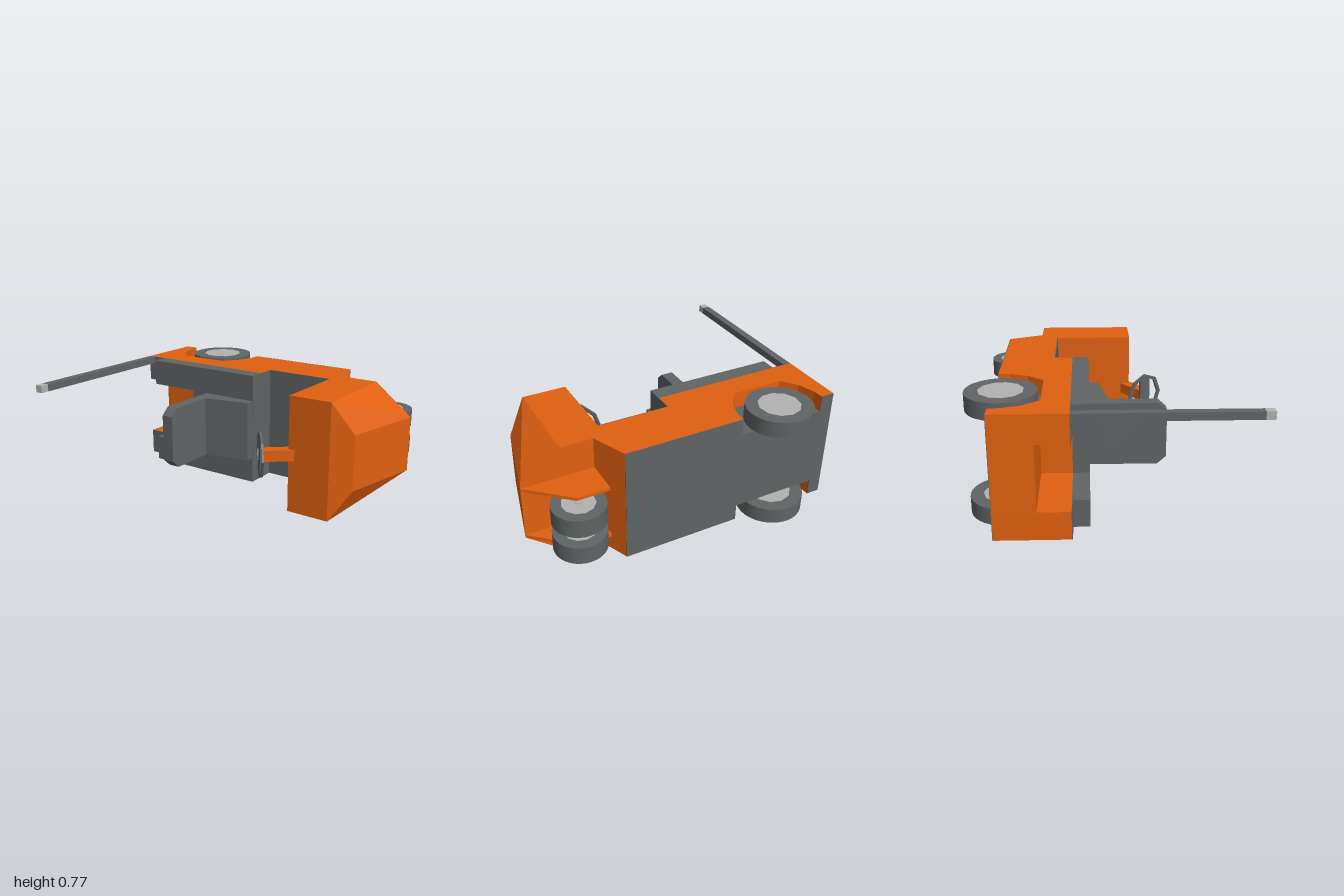
import * as THREE from 'three';
import { ConvexGeometry } from 'three/addons/geometries/ConvexGeometry.js';

const mat = (color, flatShading = true) => new THREE.MeshStandardMaterial({ color, flatShading });
const ORANGE = mat(0xe0600f), GREY = mat(0x606464), LIGHT = mat(0xb2b2b2), TYRE = mat(0x606464, false);
const HALF = 0.381; // half width of the vehicle

export function createModel() {
  const model = new THREE.Group();
  model.name = 'utilityVehicle';
  // Built upright (x forward, y up, z across), then laid on its side.
  const v = new THREE.Group();
  v.name = 'vehicle';
  v.rotation.x = Math.PI / 2;
  v.position.y = HALF;
  model.add(v);

  const add = (name, geo, material) => {
    const m = new THREE.Mesh(geo, material);
    m.name = name;
    v.add(m);
    return m;
  };
  const box = (name, x0, x1, y0, y1, z0, z1, material) =>
    add(name, new THREE.BoxGeometry(x1 - x0, y1 - y0, z1 - z0), material)
      .position.set((x0 + x1) / 2, (y0 + y1) / 2, (z0 + z1) / 2);
  const shape = (pts) => new THREE.Shape(pts.map(([x, y]) => new THREE.Vector2(x, y)));
  // Side profile extruded across the width from z0 to z1
  const prism = (name, pts, z0, z1, material) => {
    const g = new THREE.ExtrudeGeometry(shape(pts), { depth: z1 - z0, bevelEnabled: false });
    return add(name, g.translate(0, 0, z0), material);
  };
  const cylinder = (name, r, x, y, z0, z1, sides, material) => {
    const g = new THREE.CylinderGeometry(r, r, z1 - z0, sides).rotateX(Math.PI / 2);
    return add(name, g.translate(x, y, (z0 + z1) / 2), material);
  };

  // Body in strips: notched centre, plain inner sides, outer sides with wheel arches
  const front = [[0.45, -0.69], [0.545, -0.47], [0.75, -0.47], [0.75, 0.15], [0.465, 0.15],
    [0.465, -0.36], [0, -0.36], [0, -0.245]];
  const arch = [[-0.91, -0.69], [-0.905, -0.62], [-0.87, -0.51], [-0.79, -0.41],
    [-0.45, -0.41], [-0.37, -0.51], [-0.33, -0.62], [-0.33, -0.69]];
  const notchHalf = 0.205, inner = 0.27;
  prism('bodyCentre', [[-1, -0.69], ...front, [-0.51, -0.245], [-0.51, -0.44], [-1, -0.44]],
    -notchHalf, notchHalf, ORANGE);
  for (const s of [-1, 1]) {
    const span = (a, b) => (s > 0 ? [a, b] : [-b, -a]);
    prism('bodyInnerSide', [[-1, -0.69], ...front, [-1, -0.245]], ...span(notchHalf, inner), ORANGE);
    prism('bodyOuterSide', [[-1, -0.69], ...arch, ...front, [-1, -0.245]], ...span(inner, HALF), ORANGE);
    prism('archLiner', arch, ...span(inner, inner + 0.004), GREY);

    // Grey deck either side of the rear notch
    box('deckSide', -0.86, -0.51, -0.245, -0.14, ...span(notchHalf, HALF), GREY);
    box('rearDeckStrip', -1, -0.86, -0.245, -0.24, ...span(notchHalf, HALF), GREY);

    // Rear wheel
    cylinder('rearTyre', 0.213, -0.62, -0.647, ...span(0.275, HALF), 32, TYRE);
    cylinder('rearHub', 0.135, -0.62, -0.647, ...span(0.272, HALF + 0.002), 11, LIGHT);

    // Front wheel of the close-set pair, and its fork plate
    cylinder('frontTyre', 0.16, 0.745, -0.7, ...span(0.038, 0.153), 32, TYRE);
    cylinder('frontHub', 0.1, 0.745, -0.7, ...span(0.036, 0.155), 11, LIGHT);
    prism('frontFender', [[0.545, -0.69], [0.75, -0.69], [1, -0.47], [0.545, -0.47]],
      ...span(0.16, 0.18), ORANGE);
  }
  cylinder('frontAxle', 0.018, 0.745, -0.7, -0.16, 0.16, 10, LIGHT);

  // Tapered nose
  const nose = [];
  for (const s of [-1, 1]) {
    for (const [x, y, z] of [[0.75, -0.47, HALF], [0.75, 0.15, HALF], [0.875, 0.07, 0.18], [1, -0.47, 0.18]]) {
      nose.push(new THREE.Vector3(x, y, z * s));
    }
  }
  add('nose', new ConvexGeometry(nose), ORANGE);

  // Grey deck, floor and underside panels
  box('deck', -0.51, 0, -0.245, -0.14, -HALF, HALF, GREY);
  box('deckFront', -0.002, 0.003, -0.36, -0.14, -HALF, HALF, GREY);
  box('floor', 0, 0.465, -0.362, -0.357, -HALF, HALF, GREY);
  box('underside', -1, 0.45, -0.693, -0.688, -inner, inner, GREY);
  for (const s of [-1, 1]) {
    const z = s > 0 ? [inner, HALF] : [-HALF, -inner];
    box('undersideRear', -1, -0.91, -0.693, -0.688, ...z, GREY);
    box('undersideFront', -0.33, 0.45, -0.693, -0.688, ...z, GREY);
  }

  // Seat cushion and chamfered backrest
  prism('seatCushion', [[-0.39, -0.14], [0, -0.14], [0, -0.08], [-0.31, -0.02], [-0.39, -0.02]],
    -notchHalf, notchHalf, GREY);
  const back = shape([[-0.205, -0.02], [0.205, -0.02], [0.205, 0.285], [0.155, 0.34], [-0.155, 0.34], [-0.205, 0.285]]);
  const backGeo = new THREE.ExtrudeGeometry(back, { depth: 0.08, bevelEnabled: false });
  add('seatBack', backGeo.rotateY(Math.PI / 2).translate(-0.39, 0, 0), GREY);

  // Steering column and eight-sided wheel with a cross bar
  prism('steeringColumn', [[0.465, 0.09], [0.52, 0.14], [0.355, 0.27], [0.308, 0.218]], -0.036, 0.036, ORANGE);
  const rim = shape(Array.from({ length: 8 }, (_, i) =>
    [0.152 * Math.cos(i * Math.PI / 4), 0.152 * Math.sin(i * Math.PI / 4)]));
  for (const s of [-1, 1]) {
    const hole = [[0.113, 0.045], [0.088, 0.088], [0, 0.124], [-0.088, 0.088], [-0.113, 0.045]];
    rim.holes.push(new THREE.Path(hole.map(([x, y]) => new THREE.Vector2(x, y * s))));
  }
  const wheelGeo = new THREE.ExtrudeGeometry(rim, { depth: 0.014, bevelEnabled: false }).translate(0, 0, -0.007);
  const wheel = add('steeringWheel', wheelGeo, GREY);
  wheel.rotation.set(0, Math.PI / 2, -0.688, 'ZYX');
  wheel.position.set(0.323, 0.253, 0);

  // Corner mast with a lamp on top
  box('mast', -1, -0.95, -0.245, 0.8, -HALF, -0.334, GREY);
  box('mastLamp', -1, -0.95, 0.8, 0.855, -HALF, -0.334, LIGHT);

  return model;
}
